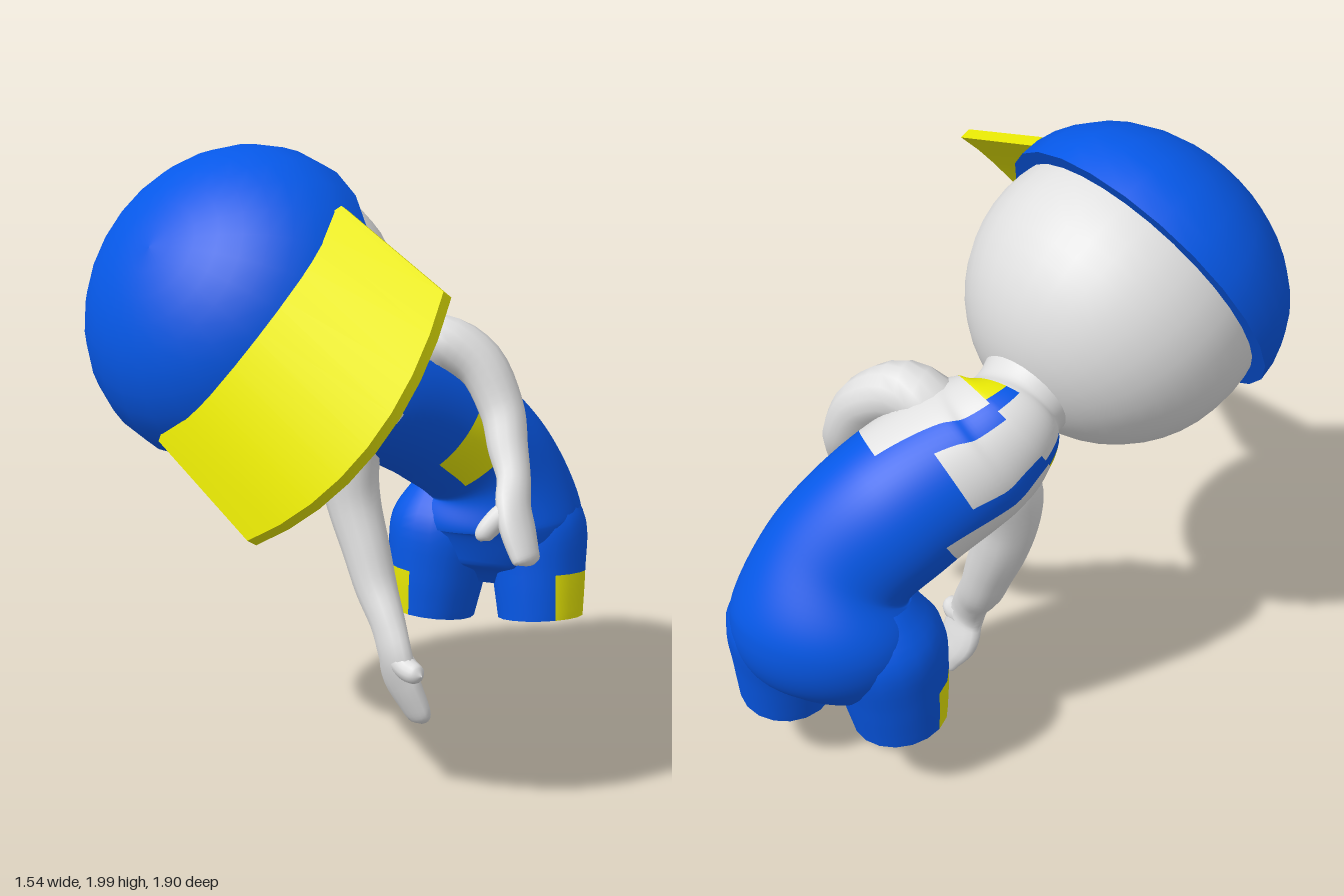
import * as THREE from 'three';

const V = (x, y, z) => new THREE.Vector3(x, y, z);

// Lofts elliptical sections [x, y, z, halfWidth, halfDepth] along a smooth path.
// sides: direction of the half-width axis, one for all or one per section.
// paint(t, angle) gives the material index; t counts sections, angle 0 lies on the side axis.
function loft(name, sections, sides, rings, segs, materials, paint = () => 0) {
  const n = sections.length - 1;
  const perSection = Array.isArray(sides);
  const path = new THREE.CatmullRomCurve3(sections.map(s => V(s[0], s[1], s[2])), false, 'catmullrom', 0.5);
  const size = new THREE.CatmullRomCurve3(sections.map(s => V(s[3], s[4], 0)), false, 'catmullrom', 0.5);
  const positions = [];
  for (let j = 0; j <= rings; j++) {
    const u = j / rings, k = Math.min(n - 1, Math.floor(u * n));
    const c = path.getPoint(u), r = size.getPoint(u), T = path.getTangent(u);
    const L = perSection ? sides[k].clone().lerp(sides[k + 1], u * n - k) : sides.clone();
    L.addScaledVector(T, -L.dot(T)).normalize();
    const F = L.clone().cross(T);
    for (let i = 0; i < segs; i++) {
      const a = i / segs * Math.PI * 2;
      const p = c.clone().addScaledVector(L, r.x * Math.cos(a)).addScaledVector(F, r.y * Math.sin(a));
      positions.push(p.x, p.y, p.z);
    }
  }
  const lists = materials.map(() => []);
  for (let j = 0; j < rings; j++) {
    for (let i = 0; i < segs; i++) {
      const i2 = (i + 1) % segs, a = j * segs, b = a + segs;
      const m = paint((j + 0.5) / rings * n, (i + 0.5) / segs * Math.PI * 2);
      lists[m].push(a + i, b + i, a + i2, b + i, b + i2, a + i2);
    }
  }
  const g = new THREE.BufferGeometry();
  g.setAttribute('position', new THREE.Float32BufferAttribute(positions, 3));
  g.setIndex(lists.flat());
  let start = 0;
  lists.forEach((l, m) => { if (l.length) g.addGroup(start, l.length, m); start += l.length; });
  g.computeVertexNormals();
  const mesh = new THREE.Mesh(g, materials);
  mesh.name = name;
  return mesh;
}

export function createModel() {
  const mat = (name, color) => {
    const m = new THREE.MeshStandardMaterial({ color, side: THREE.DoubleSide });
    m.name = name;
    return m;
  };
  const skin = mat('pale grey skin', 0xe0e0e0);
  const blue = mat('blue cloth', 0x0658e8);
  const yellow = mat('yellow trim', 0xeaea04);
  const all = [skin, blue, yellow];
  const model = new THREE.Group();
  model.name = 'bendingFigure';

  // Head with the cap: local x points along the brim, y through the crown
  const head = new THREE.Group();
  head.name = 'head';
  const crown = V(0.1, 0.51, 0.855).normalize();
  const forward = V(0.93, -0.36, 0.1);
  forward.addScaledVector(crown, -forward.dot(crown)).normalize();
  head.setRotationFromMatrix(new THREE.Matrix4().makeBasis(forward, crown, forward.clone().cross(crown)));
  head.position.set(-0.26, 1.46, 0.43);
  model.add(head);
  const add = (parent, name, geometry, material) => {
    const m = new THREE.Mesh(geometry, material);
    m.name = name;
    parent.add(m);
  };
  add(head, 'skull', new THREE.SphereGeometry(0.48, 32, 24), skin);

  const dome = [];
  for (let i = 0; i <= 10; i++) {
    const a = i / 10 * Math.PI / 2;
    dome.push(new THREE.Vector2(Math.max(0.0001, 0.52 * Math.cos(a)), 0.1 + 0.41 * Math.sin(a)));
  }
  add(head, 'capDome', new THREE.LatheGeometry(dome, 24), blue);
  add(head, 'capRim', new THREE.LatheGeometry(
    [new THREE.Vector2(0.45, 0.1), new THREE.Vector2(0.52, 0.1)], 24), blue);

  // Brim: a thin box arched across its width, with a rounded tip
  const brim = new THREE.BoxGeometry(1, 0.04, 0.91, 1, 1, 8);
  const bp = brim.attributes.position;
  for (let i = 0; i < bp.count; i++) {
    const z = bp.getZ(i);
    bp.setX(i, bp.getX(i) > 0 ? 1.05 - 0.25 * (z / 0.455) ** 2 : 0.24);
    bp.setY(i, bp.getY(i) + 0.31 - 0.55 * z * z);
  }
  brim.computeVertexNormals();
  add(head, 'capBrim', brim, yellow);

  // Torso: pelvis, bent waist, chest, shoulders and neck, with the shirt painted by region
  const hipSide = V(0.77, 0, -0.63);
  const shoulderSide = V(0.35, 0.82, -0.45);
  const shirt = (t, a) => {
    const side = Math.abs(Math.cos(a)), front = Math.sin(a) > 0;
    const deg = a * 180 / Math.PI;
    if (t > 5.5) return 0;                                        // neck
    if (t > 5) return side > 0.76 ? 2 : side > 0.6 ? 1 : 0;       // shoulder straps
    if (t > 3.15 && side > (front ? 0.86 : 0.72)) return 0;       // armholes
    if (front && t > 4 + 2.5 * side * side) return 0;             // round front neckline
    if (!front && t > 3.55 && side < 0.4) return 0;               // square back opening
    if (t > 2.3 && t < 3.12 && deg > 45 && deg < 98) return 2;    // belly patch
    return 1;
  };
  model.add(loft('torso', [
    [-0.27, 0.37, -0.62, 0.1, 0.06],
    [-0.28, 0.45, -0.64, 0.27, 0.18],
    [-0.28, 0.63, -0.66, 0.315, 0.25],
    [-0.27, 0.83, -0.6, 0.25, 0.205],
    [-0.315, 1.0, -0.42, 0.25, 0.23],
    [-0.355, 1.14, -0.17, 0.24, 0.235],
    [-0.38, 1.22, -0.07, 0.2, 0.2],
    [-0.36, 1.26, 0.0, 0.15, 0.16],
    [-0.3, 1.36, 0.2, 0.22, 0.22],
  ], [hipSide, hipSide, hipSide, V(0.74, 0.2, -0.62), V(0.65, 0.5, -0.57), V(0.45, 0.72, -0.5),
    shoulderSide, shoulderSide, shoulderSide], 96, 72, all, (t, a) => shirt(t - 1, a)));

  // Short trouser legs, open below, with a cuff patch on the outer side
  const cuff = (t, a) => (t > 2 && Math.cos(a) > 0.75 ? 2 : 1);
  const leg = (name, x0, z0, x1, z1, r, side) => {
    const ring = (y, k, radius) => [x0 + (x1 - x0) * k, y, z0 + (z1 - z0) * k, radius, radius];
    model.add(loft(name, [ring(0.75, 0, 0.11), ring(0.6, 0.3, r), ring(0.42, 0.7, r - 0.01),
      ring(0.26, 1, 0.155)], side, 15, 18, all, cuff));
  };
  leg('leftLeg', -0.18, -0.765, -0.11, -0.73, 0.18, V(1.05, 0, -0.28));
  leg('rightLeg', -0.41, -0.55, -0.425, -0.485, 0.188, V(-0.49, 0, 0.98));

  // Arms with flat mitten hands
  const limb = (name, sections, side) => model.add(loft(name, sections, side, sections.length * 4, 14, [skin]));
  limb('leftArm', [
    [-0.33, 1.19, -0.2, 0.1, 0.1],
    [-0.2, 1.3, -0.29, 0.1, 0.1],
    [-0.08, 1.24, -0.38, 0.09, 0.085],
    [0.01, 1.09, -0.405, 0.078, 0.078],
    [0.08, 0.97, -0.37, 0.07, 0.07],
    [0.15, 0.88, -0.33, 0.06, 0.055],
    [0.2, 0.81, -0.28, 0.065, 0.048],
    [0.24, 0.74, -0.26, 0.07, 0.045],
    [0.28, 0.67, -0.25, 0.06, 0.04],
    [0.3, 0.635, -0.25, 0.05, 0.03],
    [0.302, 0.625, -0.25, 0.002, 0.002],
  ], V(0, 0, 1));
  limb('leftThumb', [
    [0.21, 0.8, -0.27, 0.045, 0.045],
    [0.18, 0.755, -0.215, 0.038, 0.038],
    [0.16, 0.71, -0.18, 0.03, 0.03],
    [0.155, 0.69, -0.175, 0.002, 0.002],
  ], V(1, 0, 0));
  limb('rightArm', [
    [-0.4, 1.1, -0.13, 0.14, 0.12],
    [-0.4, 0.99, -0.08, 0.14, 0.115],
    [-0.39, 0.87, -0.06, 0.12, 0.1],
    [-0.36, 0.74, -0.06, 0.1, 0.09],
    [-0.3, 0.6, -0.06, 0.088, 0.08],
    [-0.24, 0.47, -0.055, 0.078, 0.07],
    [-0.16, 0.36, -0.04, 0.068, 0.055],
    [-0.11, 0.26, -0.03, 0.075, 0.045],
    [-0.1, 0.17, -0.05, 0.09, 0.042],
    [-0.07, 0.09, -0.075, 0.075, 0.036],
    [-0.05, 0.035, -0.09, 0.055, 0.024],
    [-0.045, 0.015, -0.095, 0.002, 0.002],
  ], V(1, 0, 0));
  limb('rightThumb', [
    [-0.1, 0.25, -0.035, 0.045, 0.045],
    [-0.045, 0.225, -0.03, 0.042, 0.04],
    [0.005, 0.22, -0.025, 0.032, 0.032],
    [0.03, 0.22, -0.025, 0.002, 0.002],
  ], V(0, 0, 1));

  return model;
}
